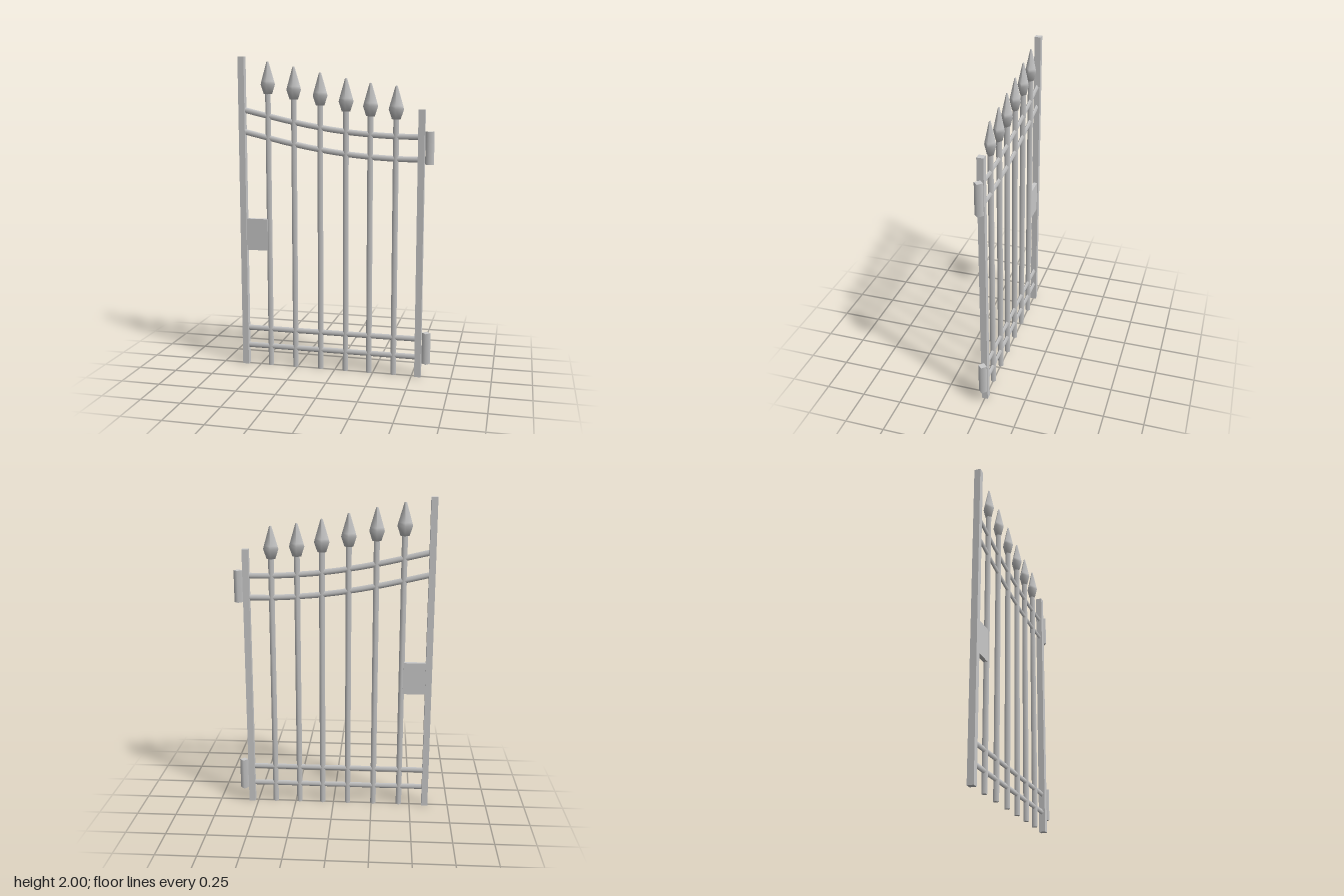
import * as THREE from 'three';

const material = new THREE.MeshStandardMaterial({ color: 0xcccccc, side: THREE.DoubleSide });

export function createModel() {
  const gate = new THREE.Group();
  gate.name = 'gate';

  const add = (name, geometry, x = 0, y = 0, z = 0) => {
    const mesh = new THREE.Mesh(geometry, material);
    mesh.name = name;
    mesh.position.set(x, y, z);
    gate.add(mesh);
    return mesh;
  };

  // Square end posts
  const post = (name, x, h) => add(name, new THREE.BoxGeometry(0.04, h, 0.04), x, h / 2);
  post('tallPost', -0.6, 2);
  post('hingePost', 0.54, 1.68);

  // Upright diamond-section bars, each with a spearhead: [x, base of head]
  const headProfile = [[0, 0], [0.027, 0], [0.047, 0.06], [0.042, 0.08], [0.007, 0.2], [0, 0.202]]
    .map(([r, y]) => new THREE.Vector2(r, y));
  const headGeometry = new THREE.LatheGeometry(headProfile, 4);
  headGeometry.scale(1, 1, 0.75);
  const bars = [[-0.43, 1.768], [-0.262, 1.736], [-0.093, 1.7], [0.071, 1.665], [0.224, 1.637], [0.383, 1.62]];
  for (const [x, top] of bars) {
    add('uprightBar', new THREE.CylinderGeometry(0.018, 0.018, top, 4), x, top / 2);
    add('spearhead', headGeometry, x, top);
  }

  // Rails: a sagging pair at the top, a straight pair at the bottom
  const rail = (name, points, y, segments) => {
    const curve = new THREE.CatmullRomCurve3(points.map(([px, py]) => new THREE.Vector3(px, py, 0)));
    const mesh = add(name, new THREE.TubeGeometry(curve, segments, 0.018, 4), 0, y);
    mesh.scale.z = 0.7;
  };
  const sag = [[-0.59, 0.155], [-0.26, 0.08], [0.07, 0.025], [0.37, 0.001], [0.53, 0]];
  for (const y of [1.378, 1.515]) rail('curvedRail', sag, y, 8);
  for (const y of [0.127, 0.245]) rail('straightRail', [[-0.59, 0], [0.53, 0]], y, 1);

  // Lock plate between the tall post and the first bar
  add('lockPlate', new THREE.BoxGeometry(0.145, 0.205, 0.026), -0.512, 0.872, -0.001);

  // Diamond-section hinges beside the short post
  for (const y of [0.188, 1.448]) {
    add('hinge', new THREE.CylinderGeometry(0.027, 0.027, 0.2, 4), 0.59, y);
  }

  return gate;
}
